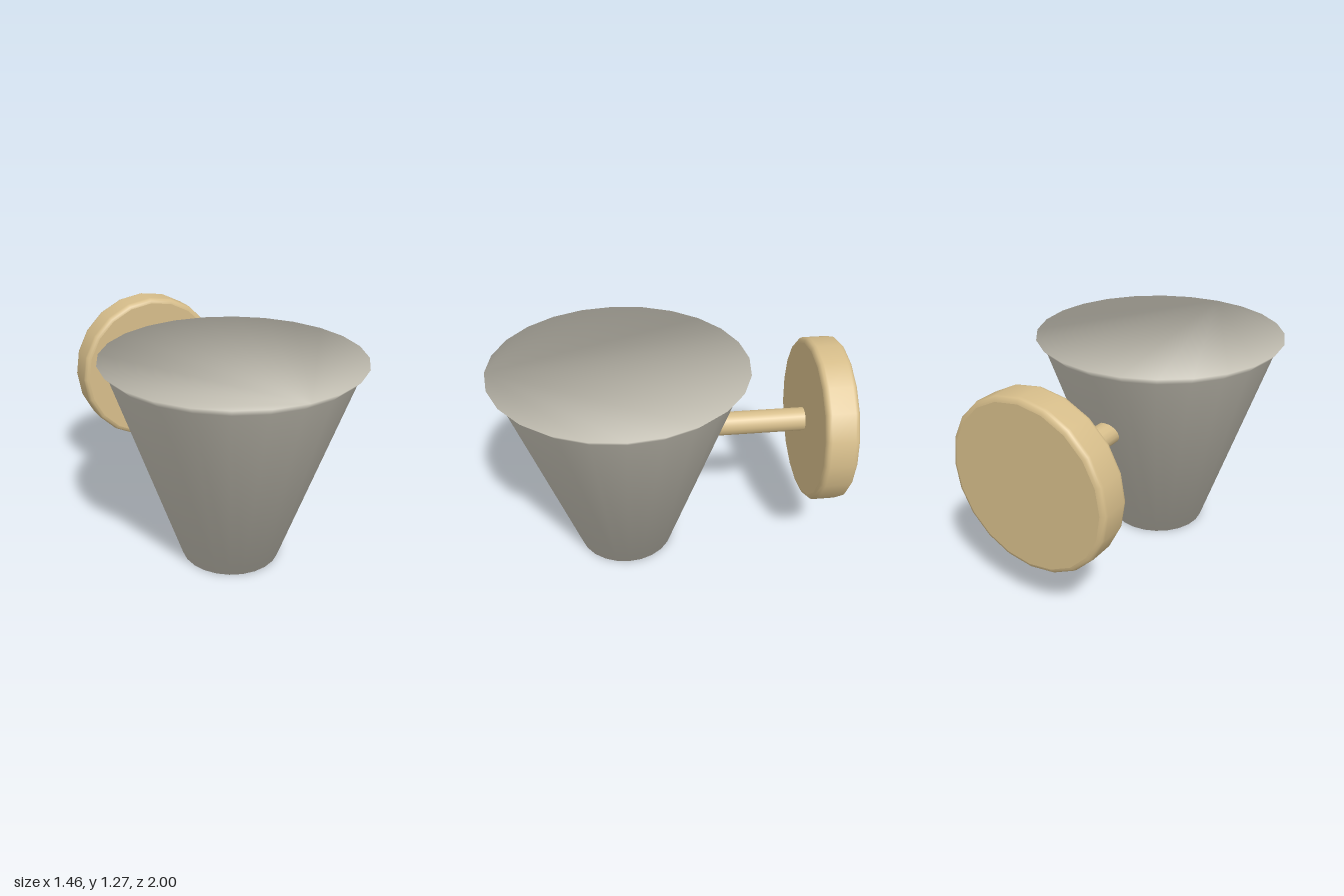
import * as THREE from 'three';

const V = (x, y) => new THREE.Vector2(x, y);

// Flared cup, closed at both ends, with soft normals running over its edges
function shadeGeometry() {
  const sides = 24;
  const profile = [V(0.29, 0), V(0.685, 1.175), V(0.73, 1.22)];
  const slopes = [V(0.555, -0.832), V(0.86, -0.51), V(0.936, 0.353)]; // outward, up
  const n = profile.length;
  const geo = new THREE.LatheGeometry(profile, sides);
  const normal = geo.attributes.normal;
  for (let i = 0; i <= sides; i++) {
    const a = (i / sides) * Math.PI * 2;
    slopes.forEach((s, j) => normal.setXYZ(i * n + j, s.x * Math.sin(a), s.y, s.x * Math.cos(a)));
  }
  // End caps reuse the ring vertices so the shading stays continuous
  const index = Array.from(geo.index.array);
  for (let i = 1; i < sides - 1; i++) {
    index.push(n - 1, i * n + n - 1, (i + 1) * n + n - 1);
    index.push(0, (i + 1) * n, i * n);
  }
  geo.setIndex(index);
  return geo;
}

// Round disc with rounded rims; doubled points keep the flat faces crisp
function plateGeometry(radius, depth, bevel) {
  const h = depth / 2, steps = 3, points = [V(0, -h), V(radius - bevel, -h)];
  for (const side of [-1, 1]) {
    for (let k = 0; k <= steps; k++) {
      const a = ((side < 0 ? k - steps : k) / steps) * Math.PI / 2;
      points.push(V(radius - bevel + bevel * Math.cos(a), side * (h - bevel) + bevel * Math.sin(a)));
    }
  }
  points.push(V(radius - bevel, h), V(0, h));
  return new THREE.LatheGeometry(points, 20);
}

export function createModel() {
  const grey = new THREE.MeshStandardMaterial({ name: 'warmGrey', color: 0xcdc9bc });
  const brass = new THREE.MeshStandardMaterial({ name: 'brass', color: 0xd6bd8a });
  const model = new THREE.Group();
  model.name = 'wallLamp';

  const add = (name, geometry, material, y, z) => {
    const mesh = new THREE.Mesh(geometry, material);
    mesh.name = name;
    mesh.position.set(0, y, z);
    model.add(mesh);
    return mesh;
  };

  add('shade', shadeGeometry(), grey, 0, 0.27);

  // Round plate fixed to the wall
  add('wallPlate', plateGeometry(0.485, 0.19, 0.03), brass, 0.785, -0.905).rotation.x = Math.PI / 2;

  // Rod from the plate into the back of the shade
  add('arm', new THREE.CylinderGeometry(0.07, 0.07, 0.66, 16), brass, 0.785, -0.53).rotation.x = Math.PI / 2;

  return model;
}
